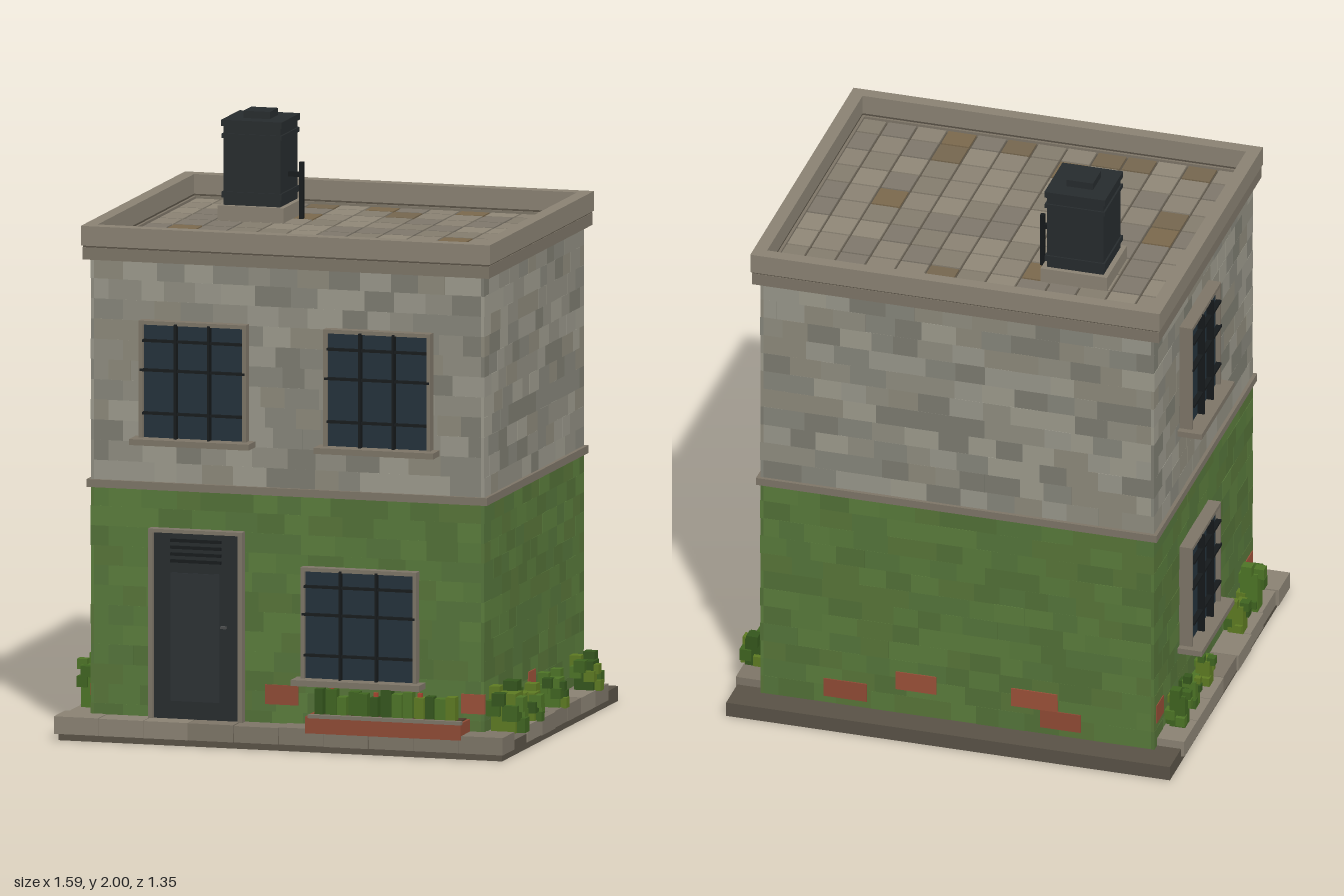
import * as THREE from 'three';
import { mergeGeometries } from 'three/addons/utils/BufferGeometryUtils.js';

const STONE = 0x8a8273, TRIM = 0x7d7567, DARK = 0x262b2d, GLASS = 0x23313a, BASE = 0x595246, BAR = 0x15191b;
const GREYS = [0x8f8d80, 0x98968a, 0x86857a, 0x7c7b70, 0x8d897a, 0x9c9a8c];
const GREENS = [0x57793a, 0x54743a, 0x5a7c3c, 0x527037, 0x577438];
const LEAVES = [0x3f6420, 0x4d7426, 0x34561c, 0x5d7a22];
const REDS = [0x8f4a34, 0x9a5038];

// Seeded random numbers
let seed = 7;
const rnd = () => (seed = (seed * 16807) % 2147483647) / 2147483647;
const pick = (list) => list[Math.floor(rnd() * list.length)];

const materials = new Map();
function material(color) {
  if (!materials.has(color)) materials.set(color, new THREE.MeshStandardMaterial({ color, flatShading: true }));
  return materials.get(color);
}

// A part made of many boxes, merged into one mesh per colour
class Part {
  constructor(name) { this.name = name; this.byColor = new Map(); }
  // box from min to max on each axis
  box(color, x0, x1, y0, y1, z0, z1) {
    const g = new THREE.BoxGeometry(x1 - x0, y1 - y0, z1 - z0);
    g.translate((x0 + x1) / 2, (y0 + y1) / 2, (z0 + z1) / 2);
    if (!this.byColor.has(color)) this.byColor.set(color, []);
    this.byColor.get(color).push(g);
    return this;
  }
  build(parent) {
    const group = new THREE.Group();
    group.name = this.name;
    for (const [color, list] of this.byColor) {
      const mesh = new THREE.Mesh(mergeGeometries(list), material(color));
      mesh.name = this.name;
      group.add(mesh);
    }
    parent.add(group);
    return group;
  }
}

const X0 = -0.695, X1 = 0.67, Z0 = -0.58, Z1 = 0.56, T = 0.012;

// Brick skin on all four walls, in staggered rows of uneven bricks
function bricks(part, palette, y0, y1, rows) {
  const h = (y1 - y0) / rows;
  const run = (a, b, odd, put) => {
    let p = a;
    let w = odd ? 0.05 : 0.1;
    while (p < b) {
      const q = b - p - w < 0.04 ? b : p + w;
      put(p, q, rnd() * 0.002);
      p = q;
      w = 0.075 + rnd() * 0.05;
    }
  };
  for (let r = 0; r < rows; r++) {
    const a = y0 + r * h, b = a + h;
    run(X0 + T, X1 - T, r % 2, (p, q, d) => part.box(pick(palette), p, q, a, b, Z1 - T, Z1 - d));
    run(X0 + T, X1 - T, r % 2, (p, q, d) => part.box(pick(palette), p, q, a, b, Z0 + d, Z0 + T));
    run(Z0, Z1, r % 2, (p, q, d) => part.box(pick(palette), X0 + d, X0 + T, a, b, p, q));
    run(Z0, Z1, r % 2, (p, q, d) => part.box(pick(palette), X1 - T, X1 - d, a, b, p, q));
  }
}

// Rectangular ring around the house, outer edge o beyond the walls, w wide
function ring(part, color, o, w, y0, y1) {
  const a = X0 - o, b = X1 + o, c = Z0 - o, d = Z1 + o;
  part.box(color, a, b, y0, y1, d - w, d).box(color, a, b, y0, y1, c, c + w);
  part.box(color, a, a + w, y0, y1, c + w, d - w).box(color, b - w, b, y0, y1, c + w, d - w);
}

// Barred window facing +z, wall at z = 0, opening bottom at y = 0
function barredWindow(parent, name, w, h, x, y, z, turn = 0) {
  const p = new Part(name), a = w / 2, f = 0.013;
  p.box(GLASS, -a, a, 0, h, -0.01, 0.02);
  p.box(TRIM, -a - f, -a, 0, h + f, -0.01, 0.035).box(TRIM, a, a + f, 0, h + f, -0.01, 0.035);
  p.box(TRIM, -a, a, h, h + f, -0.01, 0.035);
  p.box(TRIM, -a - 0.035, a + 0.035, -0.02, 0, -0.01, 0.075);
  for (const s of [-1, 1]) p.box(BAR, s * w / 6 - 0.004, s * w / 6 + 0.004, 0, h + 0.005, 0.02, 0.044);
  for (const t of [0.22, 0.6, 0.86])
    p.box(BAR, -a - (t === 0.6 ? 0.008 : 0), a + (t === 0.6 ? 0.008 : 0), h * t - 0.004, h * t + 0.004, 0.022, 0.04);
  const g = p.build(parent);
  g.position.set(x, y, z);
  g.rotation.y = turn;
}

// Blocky shrub made of leaf cubes
function shrub(part, x, z, size, height) {
  const y = 0.075;
  part.box(pick(LEAVES), x - size * 0.3, x + size * 0.3, y, y + height * 0.8, z - size * 0.3, z + size * 0.3);
  for (let i = 0; i < 9; i++) {
    const s = size * (0.13 + rnd() * 0.06), t = i * 2.4, r = size * 0.33;
    const cx = x + Math.cos(t) * r, cz = z + Math.sin(t) * r, cy = y + s + (height - 2 * s) * ((i * 4) % 9) / 8;
    part.box(pick(LEAVES), cx - s, cx + s, cy - s, cy + s, cz - s, cz + s);
  }
}

export function createModel() {
  const house = new THREE.Group();
  house.name = 'house';

  // Ground slab and paving stones on the front and both sides
  new Part('groundSlab').box(BASE, -0.778, 0.758, 0, 0.05, -0.678, 0.65).build(house);
  const paving = new Part('pavingStones');
  for (let i = 0; i < 10; i++) {
    const a = -0.793 + i * 0.156;
    paving.box(pick([STONE, TRIM]), a, a + 0.153, 0.022, 0.076 + rnd() * 0.005, Z1 - 0.03, 0.655 + rnd() * 0.008);
  }
  for (let i = 0; i < 7; i++) {
    const a = -0.548 + i * 0.154, d = rnd() * 0.012;
    paving.box(pick([STONE, TRIM]), -0.793 + d, X0 + 0.03, 0.022, 0.078, a, a + 0.151);
    paving.box(pick([STONE, TRIM]), X1 - 0.03, 0.768 - d, 0.022, 0.078, a, a + 0.151);
  }
  paving.build(house);

  // Walls: solid core with painted lower bricks and bare upper bricks
  new Part('wallCore').box(BASE, X0 + T, X1 - T, 0.04, 1.62, Z0 + T, Z1 - T).build(house);
  const lower = new Part('lowerWall'), upper = new Part('upperWall');
  bricks(lower, GREENS, 0.05, 0.845, 12);
  bricks(upper, GREYS, 0.865, 1.61, 11);
  lower.build(house);
  upper.build(house);

  // Bricks showing through the paint
  const bare = new Part('exposedBricks'), e = 0.003;
  for (const [a, b, y] of [[-0.09, 0.025, 0.14], [0.59, X1, 0.14]])
    bare.box(pick(REDS), a, b, y, y + 0.066, Z1 - T, Z1 + e);
  for (const [a, b, y] of [[0.285, 0.4, 0.14], [-0.02, 0.06, 0.14], [-0.33, -0.22, 0.075]])
    bare.box(pick(REDS), X1 - T, X1 + e, y, y + 0.066, a, b);
  for (const [a, b, y] of [[0.3, 0.45, 0.075], [0.06, 0.2, 0.14], [-0.36, -0.2, 0.14], [-0.44, -0.3, 0.075]])
    bare.box(pick(REDS), a, b, y, y + 0.066, Z0 - e, Z0 + T);
  for (const [a, b, y] of [[-0.56, -0.48, 0.14], [0.46, 0.55, 0.14]])
    bare.box(pick(REDS), X0 - e, X0 + T, y, y + 0.066, a, b);
  bare.build(house);

  // String course, cornice and parapet
  const trim = new Part('stringCourse');
  ring(trim, TRIM, 0.011, 0.04, 0.842, 0.868);
  trim.build(house);
  const parapet = new Part('parapet');
  ring(parapet, TRIM, 0.022, 0.05, 1.607, 1.648);
  ring(parapet, STONE, 0.026, 0.045, 1.654, 1.72);
  ring(parapet, BASE, 0.02, 0.039, 1.648, 1.654);
  parapet.build(house);

  // Roof tiles over dark joints
  const roof = new Part('roofTiles');
  roof.box(BASE, X0 + 0.015, X1 - 0.015, 1.6, 1.633, Z0 + 0.01, Z1 - 0.015);
  const rx0 = -0.67, rx1 = 0.65, rz0 = -0.565, rz1 = 0.535;
  for (let i = 0; i < 13; i++) for (let j = 0; j < 10; j++) {
    const a = i ? rx0 + 0.088 + (i - 1) * 0.104 : rx0, b = Math.min(rx0 + 0.088 + i * 0.104, rx1);
    const c = j ? rz0 + 0.09 + (j - 1) * 0.1145 : rz0, d = Math.min(rz0 + 0.09 + j * 0.1145, rz1);
    const color = rnd() < 0.16 ? pick([0x7a684c, 0x75664e]) : pick([STONE, 0x847c6d, 0x8f8777, 0x7e776b]);
    roof.box(color, a + 0.004, b - 0.004, 1.63, 1.64, c + 0.004, d - 0.004);
  }
  roof.build(house);

  // Water tank with bands, lid and outlet pipe
  const tank = new Part('waterTank'), tx = -0.352, tz = -0.252;
  const square = (color, r, y0, y1) => tank.box(color, tx - r, tx + r, y0, y1, tz - r, tz + r);
  square(STONE, 0.115, 1.635, 1.69);
  square(DARK, 0.098, 1.69, 1.965);
  square(DARK, 0.104, 1.715, 1.735);
  square(DARK, 0.104, 1.915, 1.93);
  square(DARK, 0.105, 1.955, 1.976);
  square(DARK, 0.046, 1.976, 2.0);
  tank.box(BAR, tx + 0.09, -0.205, 1.78, 1.796, -0.26, -0.244);
  tank.box(BAR, -0.217, -0.203, 1.63, 1.83, -0.26, -0.244);
  tank.build(house);

  // Windows: three in front, two on the right side
  barredWindow(house, 'upperWindow', 0.345, 0.38, -0.332, 1.02, Z1);
  barredWindow(house, 'upperWindow', 0.345, 0.38, 0.307, 1.02, Z1);
  barredWindow(house, 'lowerWindow', 0.375, 0.36, 0.243, 0.237, Z1);
  barredWindow(house, 'sideWindow', 0.31, 0.37, X0 - 0.008, 1.115, -0.12, -Math.PI / 2);
  barredWindow(house, 'sideWindow', 0.31, 0.36, X0 - 0.008, 0.292, -0.12, -Math.PI / 2);

  // Front door with frame, raised panel, vent slats and handle
  const door = new Part('frontDoor');
  door.box(DARK, -0.469, -0.176, 0.07, 0.704, Z1 - 0.01, Z1 + 0.022);
  door.box(TRIM, -0.485, -0.469, 0.07, 0.716, Z1 - 0.01, Z1 + 0.035).box(TRIM, -0.176, -0.16, 0.07, 0.716, Z1 - 0.01, Z1 + 0.035);
  door.box(TRIM, -0.469, -0.176, 0.704, 0.716, Z1 - 0.01, Z1 + 0.035);
  door.box(0x2b3033, -0.41, -0.24, 0.14, 0.57, Z1, Z1 + 0.027);
  for (let i = 0; i < 4; i++) door.box(BAR, -0.41, -0.235, 0.605 + i * 0.023, 0.615 + i * 0.023, Z1, Z1 + 0.03);
  door.box(0x4a4c4c, -0.235, -0.215, 0.39, 0.398, Z1, Z1 + 0.036);
  door.build(house);

  // Planter box with stems and a few flowers
  const planter = new Part('planter');
  planter.box(0x8f4a34, 0.08, 0.62, 0.066, 0.122, Z1 + 0.002, 0.668);
  planter.box(TRIM, 0.092, 0.622, 0.118, 0.13, 0.655, 0.674);
  planter.box(0x4a3a2a, 0.1, 0.61, 0.12, 0.126, Z1 + 0.01, 0.655);
  for (let i = 0; i < 13; i++) {
    const x = 0.105 + i * 0.038, w = 0.024 + rnd() * 0.018, y = 0.185 + rnd() * 0.055, z = 0.59 + rnd() * 0.02;
    planter.box(pick(LEAVES), x, x + w, 0.12, y, z, z + 0.038);
    if (i % 4 === 1) planter.box(0xa8452f, x + 0.008, x + 0.022, y, y + 0.014, z + 0.01, z + 0.024);
  }
  planter.build(house);

  // Shrubs along both side walls
  const shrubs = new Part('shrubs');
  for (const [z, size, h] of [[0.485, 0.14, 0.165], [0.245, 0.11, 0.12], [-0.045, 0.1, 0.125], [-0.425, 0.11, 0.125]])
    shrub(shrubs, X1 + 0.055, z, size, h);
  for (const [z, size, h] of [[0.4, 0.1, 0.18], [0.24, 0.09, 0.13], [-0.14, 0.08, 0.12], [-0.3, 0.08, 0.13], [-0.43, 0.09, 0.15]])
    shrub(shrubs, X0 - 0.042, z, size, h);
  shrubs.build(house);

  return house;
}
